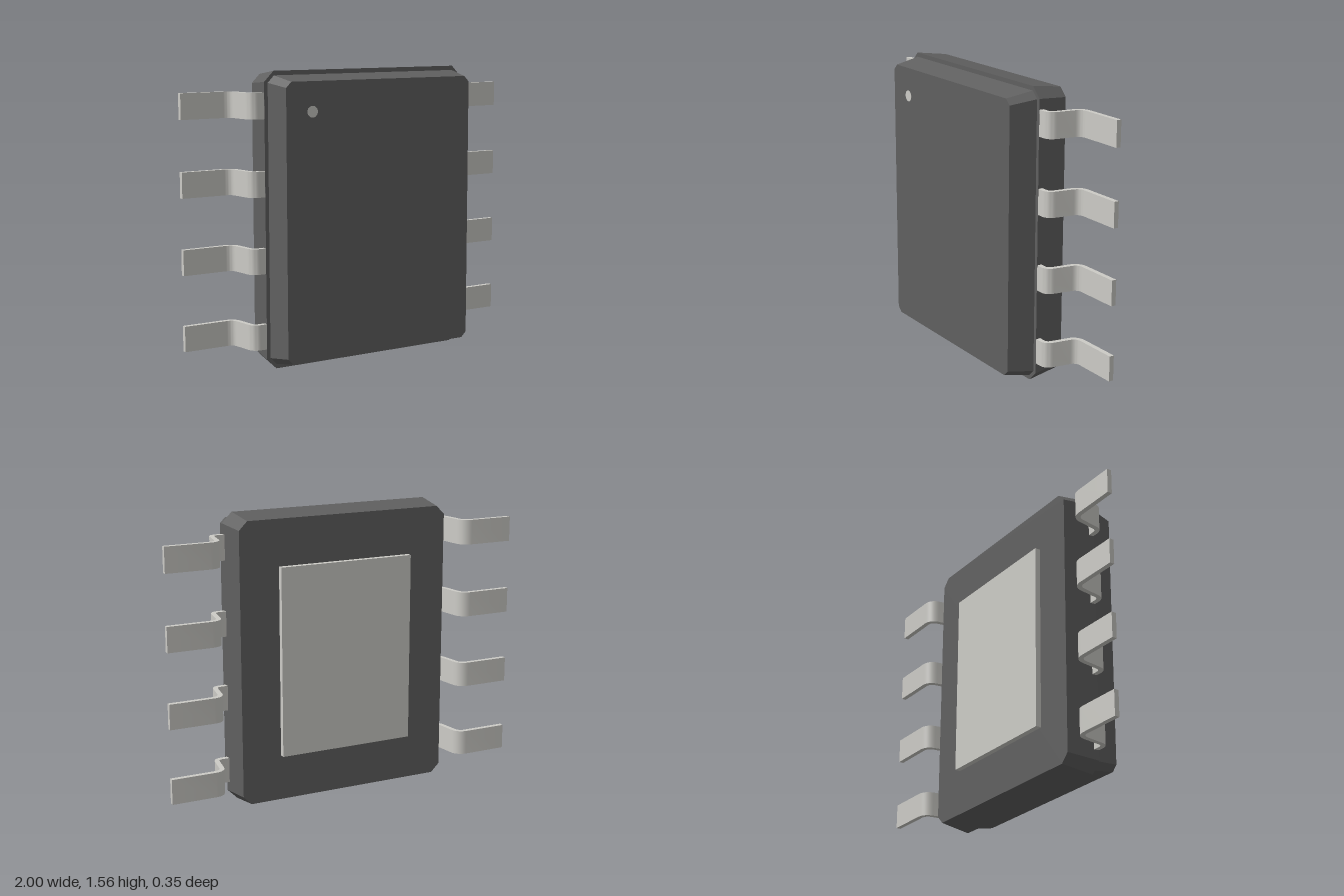
import * as THREE from 'three';
import { toCreasedNormals } from 'three/addons/utils/BufferGeometryUtils.js';
import { ConvexGeometry } from 'three/addons/geometries/ConvexGeometry.js';

const MID_Y = 0.78;
const plastic = new THREE.MeshStandardMaterial({ color: 0x606060, flatShading: true });
const metal = new THREE.MeshStandardMaterial({ color: 0xcccbc6 });

// Rectangle with chamfered corners at depth z (w, h are half sizes)
function chamferedLoop(w, h, c, z) {
  const points = [];
  for (const sx of [-1, 1]) {
    for (const sy of [-1, 1]) {
      points.push(new THREE.Vector3(sx * w, MID_Y + sy * (h - c), z));
      points.push(new THREE.Vector3(sx * (w - c), MID_Y + sy * h, z));
    }
  }
  return points;
}

// Bent strip of even thickness following a gull-wing centre line
function leadGeometry(width, thickness) {
  const v = (x, z) => new THREE.Vector2(x, -z);
  const path = new THREE.CurvePath();
  path.add(new THREE.LineCurve(v(0.55, 0.016), v(0.652, 0.016)));
  path.add(new THREE.CubicBezierCurve(v(0.652, 0.016), v(0.672, 0.016), v(0.687, 0.004), v(0.69, -0.02)));
  path.add(new THREE.LineCurve(v(0.69, -0.02), v(0.705, -0.118)));
  path.add(new THREE.CubicBezierCurve(v(0.705, -0.118), v(0.709, -0.145), v(0.73, -0.162), v(0.758, -0.162)));
  path.add(new THREE.LineCurve(v(0.758, -0.162), v(1, -0.162)));

  const upper = [], lower = [];
  path.curves.forEach((curve, i) => {
    const steps = curve.isLineCurve ? 1 : 8;
    for (let k = i ? 1 : 0; k <= steps; k++) {
      const p = curve.getPoint(k / steps), t = curve.getTangent(k / steps);
      const n = new THREE.Vector2(-t.y, t.x).multiplyScalar(thickness / 2);
      upper.push(p.clone().add(n));
      lower.unshift(p.clone().sub(n));
    }
  });
  const geometry = new THREE.ExtrudeGeometry(new THREE.Shape([...lower, ...upper]), {
    depth: width, bevelEnabled: false,
  });
  geometry.translate(0, 0, -width / 2);
  geometry.rotateX(-Math.PI / 2);
  return toCreasedNormals(geometry, 0.6);
}

export function createModel() {
  const model = new THREE.Group();
  model.name = 'chipPackage';
  const add = (name, geometry, material, x = 0, y = 0, z = 0) => {
    const mesh = new THREE.Mesh(geometry, material);
    mesh.name = name;
    mesh.position.set(x, y, z);
    model.add(mesh);
    return mesh;
  };

  // Two tapered body halves, the rear one slightly larger
  add('bodyRear', new ConvexGeometry([
    ...chamferedLoop(0.617, 0.78, 0.055, 0.03),
    ...chamferedLoop(0.595, 0.757, 0.046, -0.145),
  ]), plastic);
  add('bodyFront', new ConvexGeometry([
    ...chamferedLoop(0.597, 0.757, 0.037, 0.028),
    ...chamferedLoop(0.57, 0.73, 0.03, 0.174),
  ]), plastic);

  // Thermal pad on the back
  add('thermalPad', new THREE.BoxGeometry(0.755, 1.02, 0.04), metal, 0, MID_Y, -0.155);

  // Round marker in the upper corner of the front
  const dot = new THREE.CylinderGeometry(0.03, 0.03, 0.01, 32).rotateX(Math.PI / 2);
  add('cornerMarker', dot, metal, -0.417, 1.355, 0.1705);

  // Four leads per side; half a turn about y and x mirrors the strip
  const lead = leadGeometry(0.135, 0.026);
  for (let i = 0; i < 4; i++) {
    const y = MID_Y + (i - 1.5) * 0.402;
    add('leftLead' + (i + 1), lead, metal, 0, y, 0);
    add('rightLead' + (i + 1), lead, metal, 0, y, 0).rotation.z = Math.PI;
  }
  return model;
}
